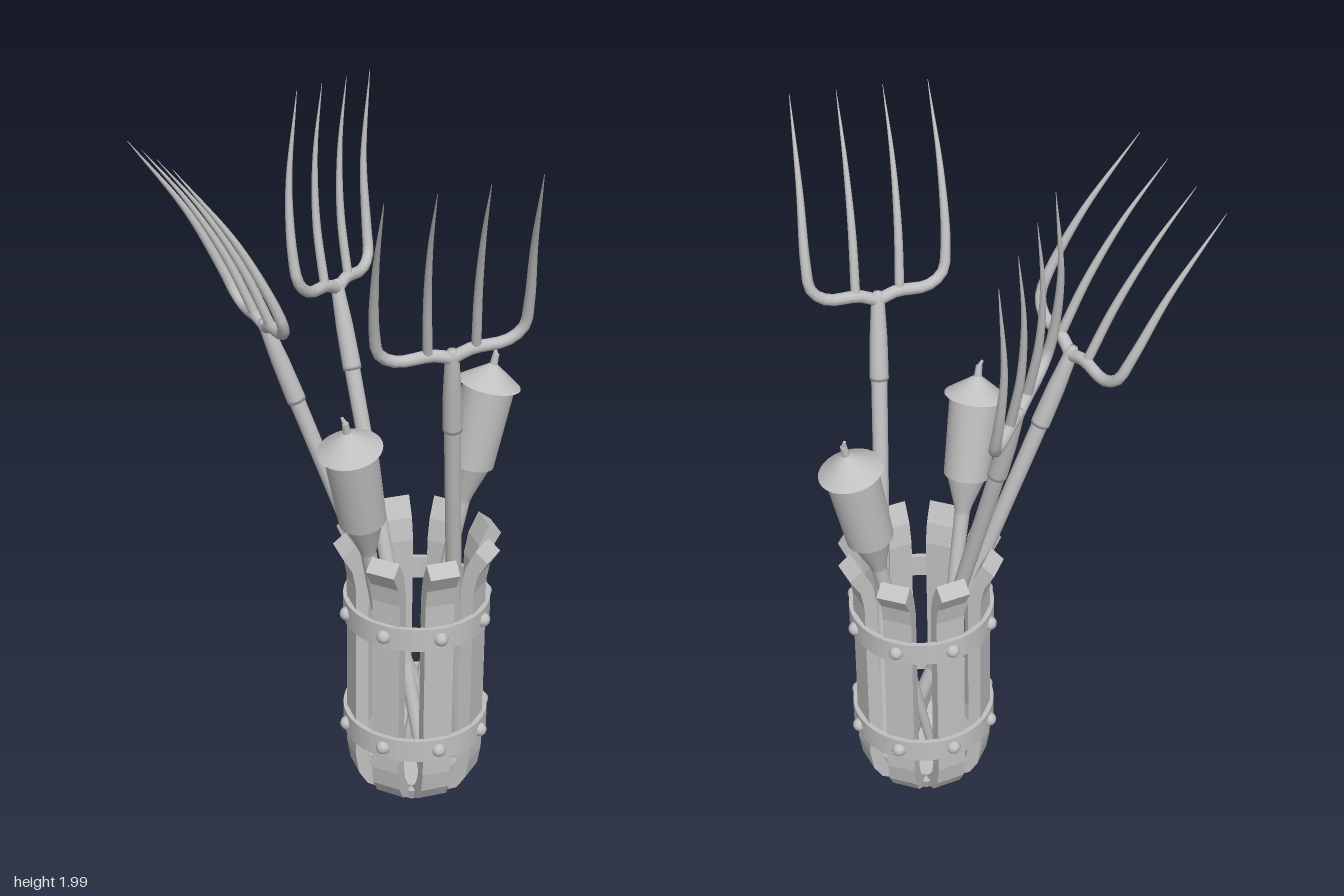
import * as THREE from 'three';

const V = (x, y, z) => new THREE.Vector3(x, y, z);
const UP = V(0, 1, 0);

export function createModel() {
  const model = new THREE.Group();
  const grey = new THREE.MeshStandardMaterial({ color: 0xc0c0c0 });
  grey.name = 'plain grey';

  const add = (parent, name, geometry) => {
    const mesh = new THREE.Mesh(geometry, grey);
    mesh.name = name;
    parent.add(mesh);
    return mesh;
  };
  const group = (parent, name) => {
    const g = new THREE.Group();
    g.name = name;
    parent.add(g);
    return g;
  };
  const lathe = (points, sides) =>
    new THREE.LatheGeometry(points.map(([r, y]) => new THREE.Vector2(r, y)), sides);

  // Round bar that thins out to a point at its far end
  const taperedTube = (points, radius) => {
    const path = new THREE.CatmullRomCurve3(points);
    const segments = 28, sides = 10;
    const geo = new THREE.TubeGeometry(path, segments, radius, sides);
    const pos = geo.attributes.position, p = V(0, 0, 0);
    for (let i = 0; i <= segments; i++) {
      const u = i / segments, centre = path.getPointAt(u);
      const k = 1 - 0.96 * Math.pow(u, 1.7);
      for (let j = 0; j <= sides; j++) {
        const n = i * (sides + 1) + j;
        p.fromBufferAttribute(pos, n).sub(centre).multiplyScalar(k).add(centre);
        pos.setXYZ(n, p.x, p.y, p.z);
      }
    }
    return geo;
  };

  // ---- Basket of eight bent staves ----
  const basket = group(model, 'basket');
  basket.position.set(0.17, 0, -0.06);

  const staveWidth = 0.083;
  const profile = [
    [0.115, 0.004], [0.155, 0.028], [0.18, 0.07], [0.19, 0.13], [0.19, 0.68], [0.2, 0.735], [0.229, 0.785],
    [0.193, 0.814], [0.165, 0.755], [0.153, 0.69], [0.153, 0.13], [0.145, 0.09], [0.125, 0.055], [0.1, 0.035],
  ];
  const staveGeo = new THREE.ExtrudeGeometry(
    new THREE.Shape(profile.map(([r, y]) => new THREE.Vector2(r, y))),
    { depth: staveWidth, bevelEnabled: false });
  staveGeo.translate(0, 0, -staveWidth / 2);
  for (let i = 0; i < 8; i++) add(basket, 'stave', staveGeo).rotation.y = (i * Math.PI) / 4;

  const floor = add(basket, 'floor', new THREE.CylinderGeometry(0.138, 0.125, 0.035, 8));
  floor.position.y = 0.0175;
  floor.rotation.y = Math.PI / 8;

  // Hoops with a rivet over every stave
  const rivetGeo = new THREE.SphereGeometry(0.02, 12, 8);
  for (const y of [0.218, 0.581]) {
    const h = 0.034;
    const hoop = add(basket, 'hoop', new THREE.ExtrudeGeometry(ringShape(0.204, 0.19),
      { depth: h * 2, bevelEnabled: false, curveSegments: 32 }));
    hoop.rotation.x = -Math.PI / 2;
    hoop.position.y = y - h;
    for (let i = 0; i < 8; i++) {
      const a = (i * Math.PI) / 4;
      const rivet = add(basket, 'rivet', rivetGeo);
      rivet.position.set(Math.cos(a) * 0.203, y, Math.sin(a) * 0.203);
    }
  }

  // ---- Pitchforks: foot of handle, joint with the head, direction across the tines ----
  const forks = [
    [V(0.24, 0.05, -0.12), V(-0.2, 1.42, 0.11), V(0.295, 0.06, 0.255)],
    [V(0.225, 0.05, -0.02), V(-0.155, 1.42, -0.21), V(0.015, -0.05, -0.385)],
    [V(0.262, 0.05, -0.14), V(0.352, 1.46, 0.138), V(0.29, 0.04, -0.265)],
  ];
  const tip = 0.54;
  const bend = (x, t) => V(x, t, 0.105 * Math.pow(Math.max(t, 0) / tip, 2));
  for (const [foot, joint, across] of forks) {
    const fork = group(model, 'pitchfork');
    const y = joint.clone().sub(foot).normalize();
    const z = across.clone().cross(y).normalize();
    const x = y.clone().cross(z);
    fork.quaternion.setFromRotationMatrix(new THREE.Matrix4().makeBasis(x, y, z));
    fork.position.copy(joint);

    const length = joint.distanceTo(foot);
    add(fork, 'handle', lathe([[0, -length], [0.02, -length], [0.022, -0.23], [0, -0.23]], 16));
    add(fork, 'ferrule', lathe([[0, -0.24], [0.026, -0.24], [0.026, -0.23], [0.024, -0.12],
      [0.018, -0.01], [0.012, 0.01], [0, 0.012]], 16));
    for (const s of [-1, 1]) {
      add(fork, 'outerTine', taperedTube([
        bend(0, -0.015), bend(s * 0.05, 0.004), bend(s * 0.145, 0.008), bend(s * 0.188, 0.04),
        bend(s * 0.199, 0.11), bend(s * 0.199, 0.3), bend(s * 0.193, tip)], 0.017));
      add(fork, 'innerTine', taperedTube([
        bend(s * 0.063, 0), bend(s * 0.065, 0.18), bend(s * 0.066, 0.36), bend(s * 0.065, tip)], 0.013));
    }
  }

  // ---- Torches: foot of the pole and apex of the lid ----
  const torches = [
    [V(0.135, 0.05, -0.07), V(0.094, 1.222, 0.212)],
    [V(0.12, 0.05, -0.1), V(0.284, 1.25, -0.288)],
  ];
  for (const [foot, apex] of torches) {
    const torch = group(model, 'torch');
    const axis = apex.clone().sub(foot);
    torch.position.copy(apex);
    torch.quaternion.setFromUnitVectors(UP, axis.clone().normalize());
    const length = axis.length();
    add(torch, 'pole', lathe([[0, -length], [0.012, -length], [0.022, -0.41]], 14));
    add(torch, 'neck', lathe([[0.022, -0.42], [0.026, -0.4], [0.058, -0.3]], 24));
    add(torch, 'canister', new THREE.CylinderGeometry(0.072, 0.064, 0.24, 28)).position.y = -0.185;
    add(torch, 'lid', new THREE.ConeGeometry(0.087, 0.064, 28)).position.y = -0.034;
    add(torch, 'wickHolder', new THREE.CylinderGeometry(0.009, 0.011, 0.03, 10)).position.y = 0.005;
    const wick = add(torch, 'wick', new THREE.CylinderGeometry(0.004, 0.008, 0.025, 8));
    wick.position.set(-0.003, 0.025, 0);
    wick.rotation.z = 0.35;
  }
  return model;
}

// Flat ring outline
function ringShape(outer, inner) {
  const shape = new THREE.Shape().absarc(0, 0, outer, 0, Math.PI * 2, false);
  shape.holes.push(new THREE.Path().absarc(0, 0, inner, 0, Math.PI * 2, true));
  return shape;
}
